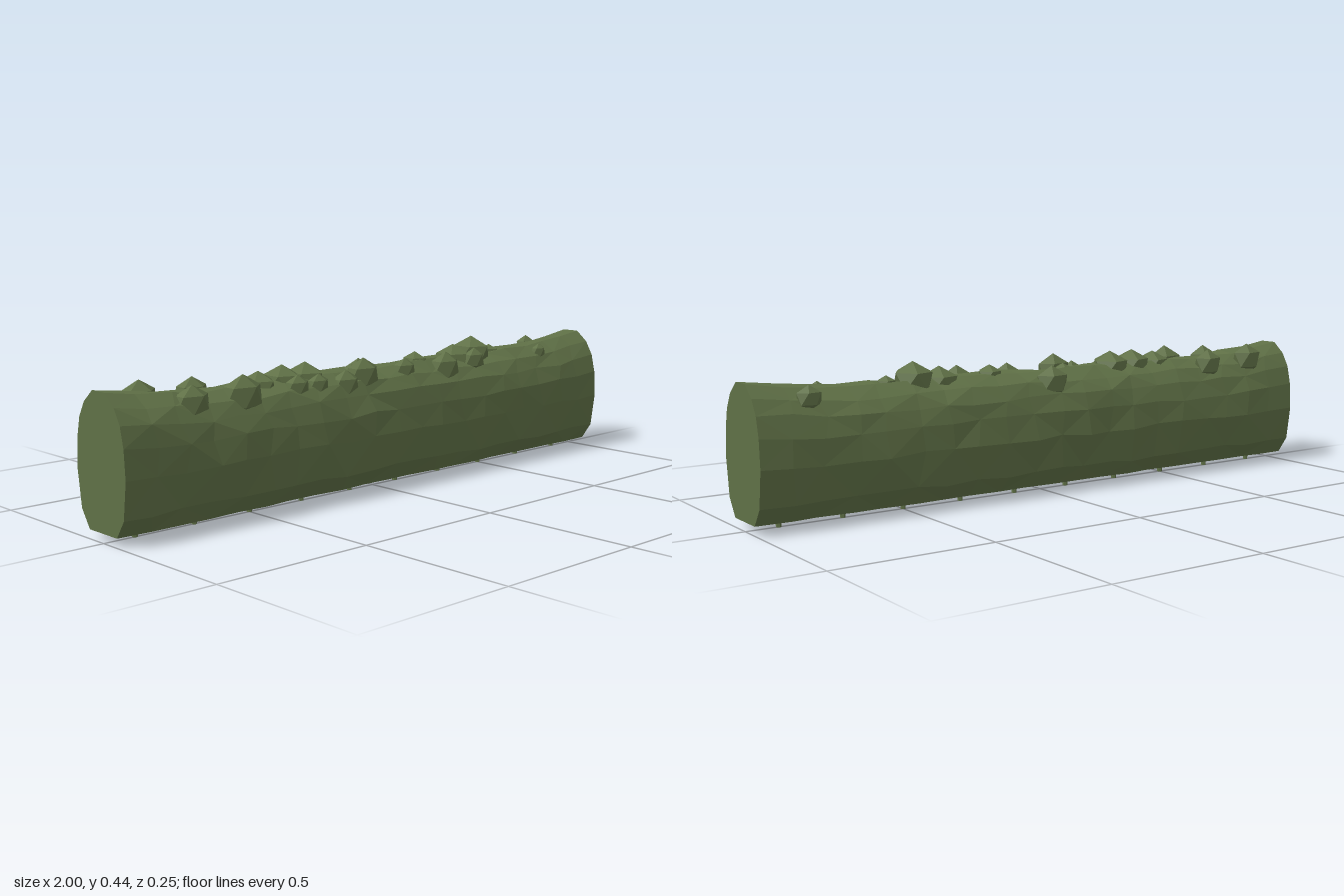
import * as THREE from 'three';

export function createModel() {
  const group = new THREE.Group();
  group.name = 'hedge';
  const leaf = new THREE.MeshStandardMaterial({ color: 0x5f7046, flatShading: true });
  leaf.name = 'leafGreen';

  let seed = 7;
  const rnd = () => {
    seed = (seed * 16807) % 2147483647;
    return seed / 2147483647 - 0.5;
  };

  // Cross-section as (z, y), from bottom front over the top to bottom back
  const half = [[0.066, 0.027], [0.102, 0.08], [0.117, 0.19], [0.112, 0.275], [0.098, 0.335], [0.072, 0.38], [0.03, 0.415]];
  const profile = [...half, ...half.slice().reverse().map(([z, y]) => [-z, y])];
  const n = profile.length;
  const segments = 20;

  // Clipped hedge body: rings along x, gently uneven, lower in the middle
  const rings = [];
  for (let i = 0; i <= segments; i++) {
    const x = -1 + (2 * i) / segments;
    const end = i === 0 || i === segments;
    const sag = 0.032 * Math.min(1, (1 - Math.abs(x)) / 0.25);
    rings.push(profile.map(([z, y]) => {
      const k = end ? 0 : 1;
      const high = Math.max(0, (y - 0.15) / 0.27);
      const low = y < 0.05;
      return new THREE.Vector3(
        x + k * rnd() * 0.03,
        y - sag * high + (low ? 0 : k * rnd() * 0.012),
        z * (1 + k * 0.025) + k * rnd() * 0.011
      );
    }));
  }
  const pos = [];
  const tri = (a, b, c) => [a, b, c].forEach((v) => pos.push(v.x, v.y, v.z));
  for (let i = 0; i < segments; i++) {
    for (let j = 0; j < n; j++) {
      const k = (j + 1) % n;
      const a = rings[i][j], b = rings[i + 1][j], c = rings[i + 1][k], d = rings[i][k];
      if ((i + j) % 2) { tri(a, b, c); tri(a, c, d); }
      else { tri(a, b, d); tri(b, c, d); }
    }
  }
  // Flat end faces
  for (let j = 1; j < n - 1; j++) {
    tri(rings[0][0], rings[0][j], rings[0][j + 1]);
    tri(rings[segments][0], rings[segments][j + 1], rings[segments][j]);
  }
  const bodyGeo = new THREE.BufferGeometry();
  bodyGeo.setAttribute('position', new THREE.Float32BufferAttribute(pos, 3));
  bodyGeo.computeVertexNormals();
  const body = new THREE.Mesh(bodyGeo, leaf);
  body.name = 'hedgeBody';
  group.add(body);

  // Leaf clumps: icosahedra with one corner up; x, top y, z, half width
  const clumpGeo = new THREE.IcosahedronGeometry(1, 0);
  clumpGeo.rotateZ(-Math.atan(2 / (1 + Math.sqrt(5))));
  const addClumps = (name, depth, list) => list.forEach(([x, top, z, r]) => {
    const clump = new THREE.Mesh(clumpGeo, leaf);
    clump.name = name;
    clump.scale.set(r, r * 0.9, r * depth);
    clump.position.set(x, top - r * 0.9, z);
    group.add(clump);
  });
  addClumps('backClump', 0.7, [
    [-0.83, 0.422, -0.064, 0.06], [-0.65, 0.412, -0.064, 0.056],
    [0, 0.402, -0.064, 0.06], [0.83, 0.405, -0.07, 0.042]
  ]);
  addClumps('topClump', 1.1, [
    [-0.46, 0.415, 0, 0.055], [-0.37, 0.425, 0, 0.06], [-0.28, 0.425, 0, 0.062],
    [-0.09, 0.398, 0, 0.03], [0.19, 0.412, 0, 0.04], [0.37, 0.42, 0, 0.06],
    [0.46, 0.44, 0, 0.064], [0.55, 0.404, 0, 0.03]
  ]);
  addClumps('frontClump', 0.65, [
    [-0.74, 0.412, 0.06, 0.06], [-0.56, 0.422, 0.056, 0.07], [-0.36, 0.4, 0.06, 0.045],
    [-0.28, 0.395, 0.062, 0.04], [-0.17, 0.395, 0.062, 0.055], [-0.09, 0.424, 0.054, 0.062],
    [0.09, 0.406, 0.054, 0.045], [0.27, 0.41, 0.062, 0.06], [0.41, 0.41, 0.06, 0.045],
    [0.74, 0.395, 0.064, 0.032]
  ]);

  // Row of short stems under the body
  const stemGeo = new THREE.CylinderGeometry(0.008, 0.008, 0.04, 6);
  for (let i = 0; i < 10; i++) {
    const stem = new THREE.Mesh(stemGeo, leaf);
    stem.name = 'stem';
    stem.position.set(-0.9 + i * 0.2, 0.02, 0);
    group.add(stem);
  }
  return group;
}
